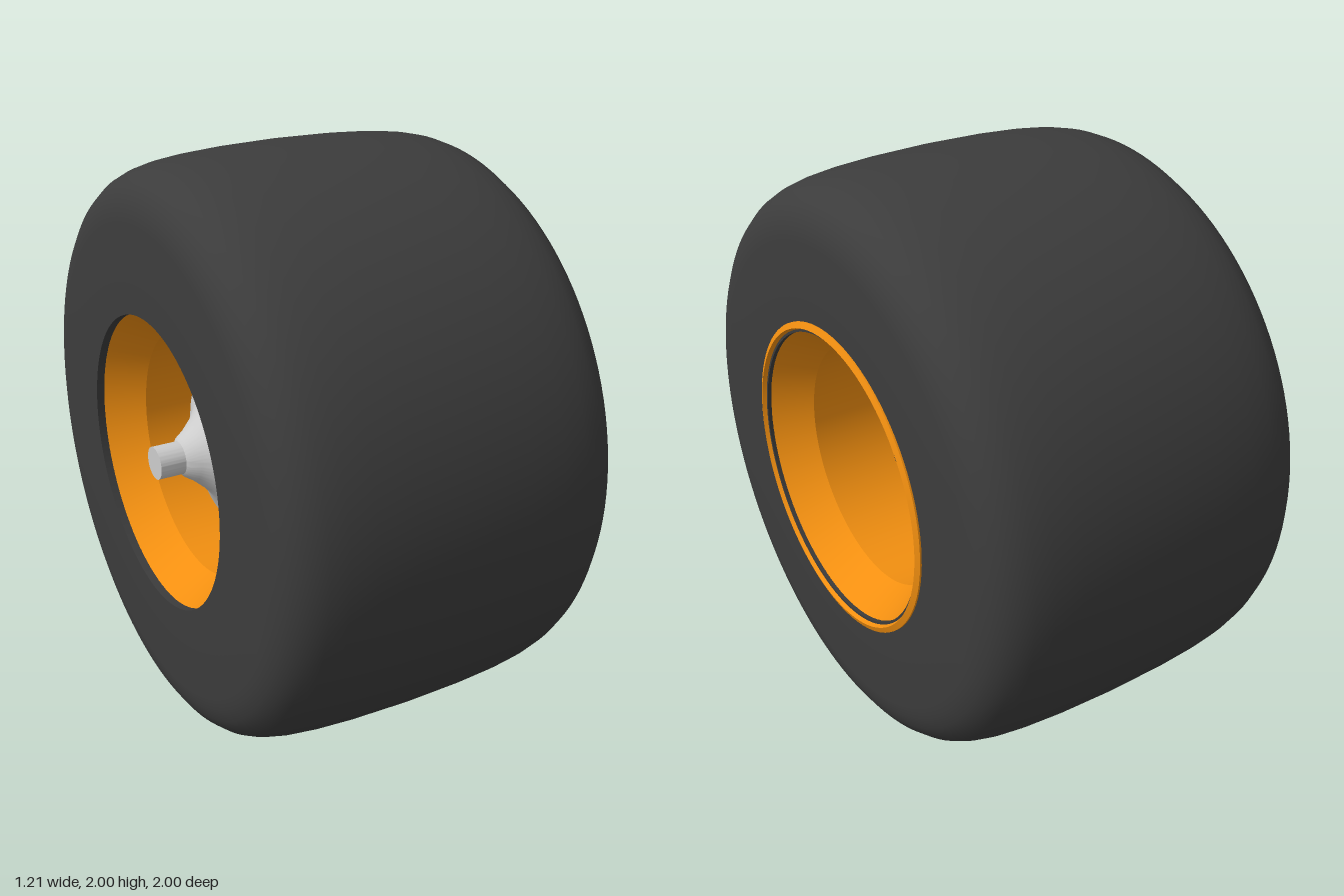
import * as THREE from 'three';
import { toCreasedNormals } from 'three/addons/utils/BufferGeometryUtils.js';

const material = (color) => new THREE.MeshStandardMaterial({ color });
const rubber = material(0x3c3c3c);
const orange = material(0xf28f10);
const grey = material(0xcccccc);
const dark = material(0x3a3d3f);

export function createModel() {
  const wheel = new THREE.Group();
  wheel.name = 'wheel';

  const add = (name, geometry, mat) => {
    const mesh = new THREE.Mesh(geometry, mat);
    mesh.name = name;
    mesh.position.y = 1;
    wheel.add(mesh);
    return mesh;
  };

  // Turned part about the x axis; profile points are [radius, x]
  const turned = (name, profile, mat, sides = 96, crease = 0.5) => {
    const points = profile.map(([r, x]) => new THREE.Vector2(r, x));
    const geometry = new THREE.LatheGeometry(points, sides).rotateZ(-Math.PI / 2);
    return add(name, toCreasedNormals(geometry, crease), mat);
  };

  // Tyre: slightly crowned tread, rounded shoulders, flat sidewalls
  const shoulder = [[0.8, 0.598], [0.84, 0.593], [0.88, 0.58], [0.915, 0.558],
    [0.945, 0.522], [0.963, 0.48], [0.977, 0.42], [0.988, 0.33], [0.996, 0.2]];
  const tyreX = -0.007;
  turned('tyre', [
    [0.5, tyreX - 0.598],
    ...shoulder.map(([r, x]) => [r, tyreX - x]),
    [1, tyreX],
    ...shoulder.slice().reverse().map(([r, x]) => [r, tyreX + x]),
    [0.5, tyreX + 0.598], [0.5, tyreX - 0.598],
  ], rubber, 128);

  // Rim barrel: bevelled lips, tapered flanges, straight centre
  turned('rimBarrel', [
    [0.45, -0.42], [0.535, -0.58], [0.535, -0.598], [0.515, -0.605], [0.508, -0.59], [0.42, -0.45],
    [0.42, 0.45], [0.508, 0.59], [0.515, 0.605], [0.535, 0.597], [0.535, 0.58], [0.45, 0.42],
    [0.45, -0.42],
  ].reverse(), orange);

  // Spoke disc with four rounded windows
  const disc = new THREE.Shape().absarc(0, 0, 0.43, 0, Math.PI * 2);
  const half = 0.15, outer = 0.418, inner = 0.22;
  const edge = Math.asin(half / outer), innerEdge = 0.42;
  for (let i = 0; i < 4; i++) {
    const turn = i * Math.PI / 2;
    const at = (x, y) => [
      x * Math.cos(turn) - y * Math.sin(turn),
      x * Math.sin(turn) + y * Math.cos(turn),
    ];
    const onInner = (a) => [inner * Math.cos(a), inner * Math.sin(a)];
    const [ix, iy] = onInner(innerEdge);
    const hole = new THREE.Path();
    hole.moveTo(...at(outer * Math.cos(edge), -half));
    hole.absarc(0, 0, outer, turn - edge, turn + edge, false);
    hole.lineTo(...at(0.3, 0.148));
    hole.quadraticCurveTo(...at(0.235, 0.14), ...at(ix + 0.02, iy + 0.01));
    hole.absarc(0, 0, inner, turn + innerEdge, turn - innerEdge, true);
    hole.lineTo(...at(ix + 0.02, -iy - 0.01));
    hole.quadraticCurveTo(...at(0.235, -0.14), ...at(0.3, -0.148));
    hole.closePath();
    disc.holes.push(hole);
  }
  const discGeometry = new THREE.ExtrudeGeometry(disc, { depth: 0.1, bevelEnabled: false, curveSegments: 32 });
  discGeometry.rotateY(Math.PI / 2).translate(0.07, 0, 0);
  add('spokeDisc', toCreasedNormals(discGeometry, 0.5), orange);

  // Hub with mounting flange, concave cone and stub shaft
  turned('hub', [
    [0, -0.6], [0.056, -0.6], [0.056, -0.51], [0.07, -0.5], [0.09, -0.47], [0.13, -0.425],
    [0.18, -0.385], [0.26, -0.35], [0.26, -0.31], [0.19, -0.28], [0.19, 0.08], [0, 0.08],
  ], grey);

  // Stepped washer clamping the spoke disc
  turned('hubWasher', [
    [0, 0.16], [0.19, 0.16], [0.19, 0.19], [0.14, 0.21], [0.14, 0.23], [0, 0.23],
  ], grey, 64, 0.3);

  // Axle nut and bolt end
  const hexPart = (name, radius, x0, x1, sides = 6) => {
    const geometry = new THREE.CylinderGeometry(radius, radius, x1 - x0, sides);
    geometry.rotateZ(-Math.PI / 2);
    if (sides === 6) geometry.rotateX(Math.PI / 6 * 3);
    geometry.translate((x0 + x1) / 2, 0, 0);
    add(name, toCreasedNormals(geometry, 0.5), dark);
  };
  hexPart('axleNut', 0.085, 0.22, 0.3);
  hexPart('boltHead', 0.05, 0.29, 0.34);
  hexPart('boltTip', 0.034, 0.33, 0.35, 32);

  return wheel;
}
